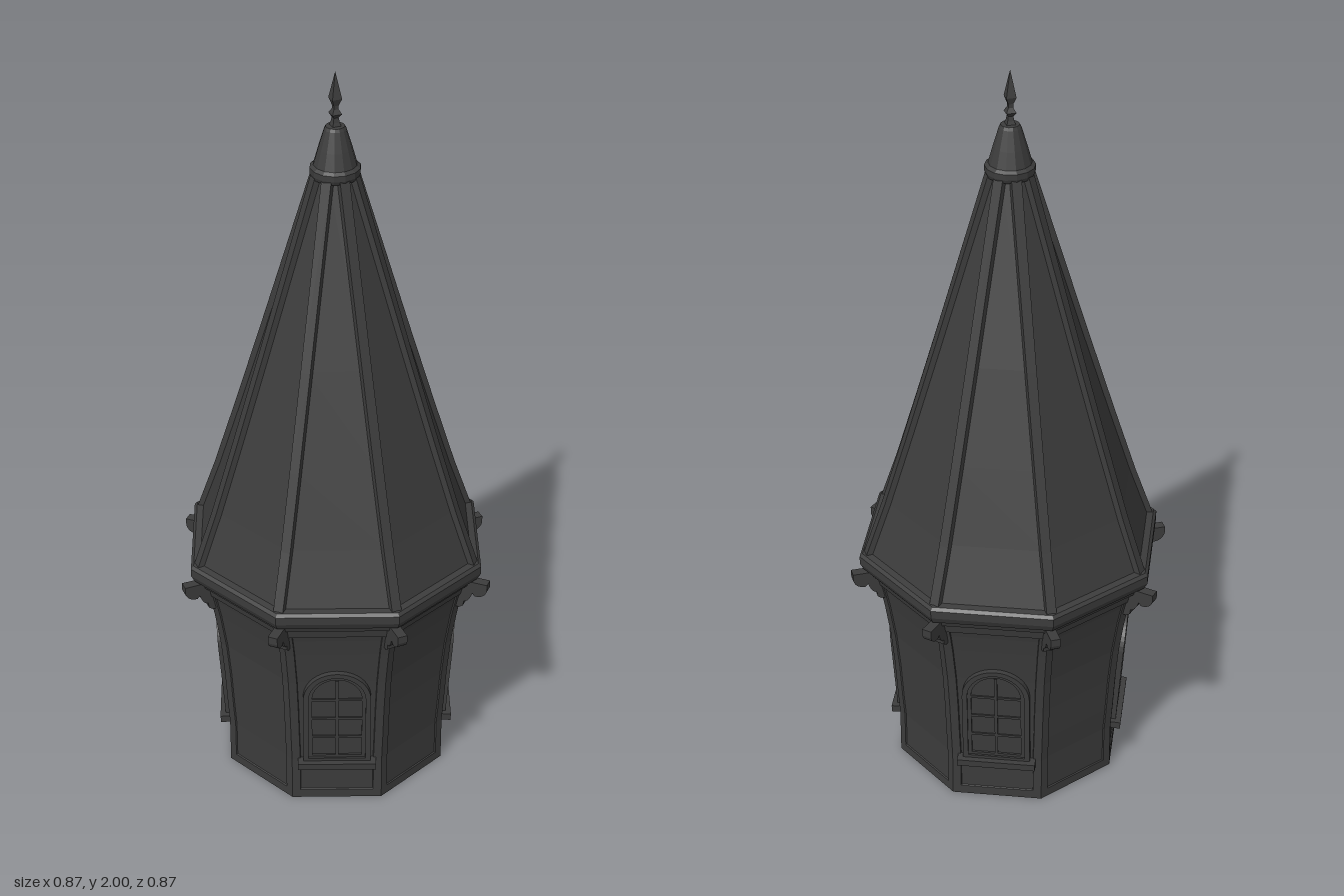
import * as THREE from 'three';

const SIDES = 8, STEP = Math.PI / 4;
const mat = new THREE.MeshStandardMaterial({ color: 0x3c3c3c, flatShading: true });
const v2 = (pts) => pts.map(([x, y]) => new THREE.Vector2(x, y));

function add(parent, name, geometry) {
  const mesh = new THREE.Mesh(geometry, mat);
  mesh.name = name;
  parent.add(mesh);
  return mesh;
}

const lathe = (pts, sides = SIDES, start = 0) => new THREE.LatheGeometry(v2(pts), sides, start);

// Sweeps a counter-clockwise [radial, tangential] section up a [radius, height] path.
function sweep(path, section) {
  const pos = [], idx = [], n = section.length;
  path.forEach(([r, y]) => section.forEach(([dx, z]) => pos.push(r + dx, y, z)));
  for (let j = 0; j < path.length - 1; j++) {
    for (let i = 0; i < n; i++) {
      const a = j * n + i, b = j * n + (i + 1) % n;
      idx.push(a, b, b + n, a, b + n, a + n);
    }
  }
  const g = new THREE.BufferGeometry();
  g.setAttribute('position', new THREE.Float32BufferAttribute(pos, 3));
  g.setIndex(idx);
  g.computeVertexNormals();
  return g;
}

// Round-headed outline; half width w, from y0 up to the spring line.
function arch(Type, w, y0, spring) {
  const s = new Type();
  s.moveTo(-w, y0);
  s.lineTo(w, y0);
  s.lineTo(w, spring);
  s.absarc(0, spring, w, 0, Math.PI, false);
  s.lineTo(-w, y0);
  return s;
}

function extrude(shape, depth, z) {
  return new THREE.ExtrudeGeometry(shape, { depth, bevelEnabled: false, curveSegments: 10 })
    .translate(0, 0, z);
}

function archRing(outer, inner, y0, spring, depth, z) {
  const s = arch(THREE.Shape, outer, y0, spring);
  s.holes.push(arch(THREE.Path, inner, y0 + outer - inner, spring));
  return extrude(s, depth, z);
}

function makeWindow() {
  const w = new THREE.Group();
  w.name = 'window';
  add(w, 'windowPane', extrude(arch(THREE.Shape, 0.075, 0.01, 0.22), 0.012, -0.01));
  add(w, 'windowSurround', archRing(0.09, 0.076, 0, 0.22, 0.026, -0.014));
  add(w, 'windowSash', archRing(0.076, 0.066, 0.012, 0.22, 0.016, -0.009));
  // glazing bars
  add(w, 'mullion', new THREE.BoxGeometry(0.008, 0.265, 0.008).translate(0, 0.15, 0.003));
  for (const y of [0.085, 0.15, 0.215]) {
    add(w, 'glazingBar', new THREE.BoxGeometry(0.136, 0.007, 0.007).translate(0, y, 0.002));
  }
  add(w, 'windowSill', new THREE.BoxGeometry(0.21, 0.02, 0.045).translate(0, -0.005, 0.004));
  return w;
}

function bracketGeometry() {
  const s = new THREE.Shape();
  s.moveTo(0.33, 0.615);
  s.lineTo(0.435, 0.615);
  s.lineTo(0.435, 0.595);
  s.quadraticCurveTo(0.428, 0.572, 0.402, 0.572);
  s.lineTo(0.395, 0.58);
  s.quadraticCurveTo(0.386, 0.55, 0.372, 0.55);
  s.lineTo(0.37, 0.535);
  s.lineTo(0.36, 0.528);
  s.lineTo(0.33, 0.528);
  return new THREE.ExtrudeGeometry(s, { depth: 0.026, bevelEnabled: false, curveSegments: 6 })
    .translate(0, 0, -0.013);
}

export function createModel() {
  const tower = new THREE.Group();
  tower.name = 'tower';

  // flared octagonal walls
  const wall = [[0.311, 0.02], [0.311, 0.13], [0.316, 0.2], [0.322, 0.3], [0.331, 0.4],
    [0.346, 0.5], [0.356, 0.55], [0.37, 0.605]];
  add(tower, 'walls', lathe([[0, 0.01], ...wall]));
  add(tower, 'baseBand', lathe([[0, 0], [0.315, 0], [0.315, 0.025], [0.308, 0.028]]));
  add(tower, 'frieze', lathe([[0.352, 0.565], [0.368, 0.57], [0.375, 0.6], [0.36, 0.605]]));

  // eaves and roof
  add(tower, 'eaves', lathe([[0.34, 0.598], [0.385, 0.6], [0.39, 0.615], [0.404, 0.622],
    [0.413, 0.64], [0.413, 0.662], [0.405, 0.67], [0.37, 0.675]]));
  const roof = [[0.388, 0.668], [0.334, 0.82], [0.27, 1.02], [0.192, 1.27], [0.048, 1.74]];
  add(tower, 'roof', lathe(roof));

  // corner posts, roof ribs and brackets
  const px = -0.022 * Math.sin(STEP / 2), pz = 0.022 * Math.cos(STEP / 2);
  const postSection = [[0.004, 0], [px + 0.004, -pz], [-0.03, -pz], [-0.03, pz], [px + 0.004, pz]];
  const ribSection = [[0.01, 0.013], [0.01, -0.013], [-0.025, -0.016], [-0.025, 0.016]];
  const postGeo = sweep(wall, postSection);
  const ribGeo = sweep(roof, ribSection);
  const bracketGeo = bracketGeometry();
  for (let k = 0; k < SIDES; k++) {
    const corner = new THREE.Group();
    corner.name = 'corner';
    corner.rotation.y = k * STEP;
    add(corner, 'cornerPost', postGeo);
    add(corner, 'roofRib', ribGeo);
    add(corner, 'eavesBracket', bracketGeo);
    tower.add(corner);
  }

  // windows on every other face, leaning with the wall
  for (let k = 0; k < 4; k++) {
    const face = new THREE.Group();
    face.name = 'windowFace';
    face.rotation.y = -STEP / 2 + k * 2 * STEP;
    const w = makeWindow();
    w.position.set(0, 0.13, 0.291);
    w.rotation.x = 0.07;
    face.add(w);
    tower.add(face);
  }

  // round cap and square finial
  add(tower, 'roofCap', lathe([[0.045, 1.722], [0.06, 1.725], [0.064, 1.735], [0.064, 1.75],
    [0.055, 1.757], [0.043, 1.8], [0.028, 1.85], [0.024, 1.858], [0, 1.86]], 14));
  add(tower, 'finial', lathe([[0.02, 1.85], [0.012, 1.868], [0.009, 1.88], [0.018, 1.89],
    [0.009, 1.902], [0.009, 1.912], [0.018, 1.93], [0.009, 1.965], [0, 2]], 4, STEP));
  return tower;
}
